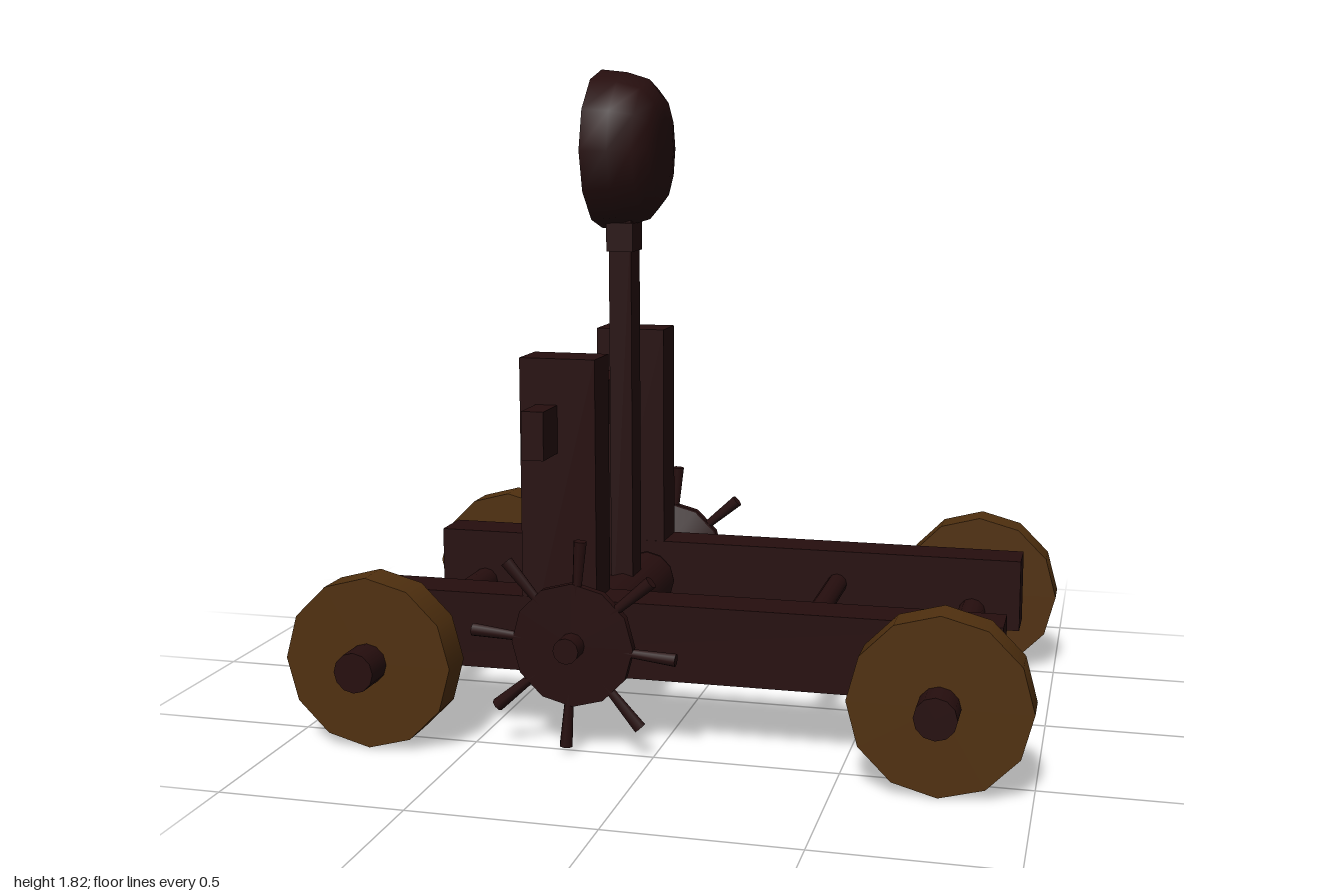
import * as THREE from 'three';

const darkWood = new THREE.MeshStandardMaterial({ color: 0x260e0e });
darkWood.name = 'darkWood';
const wheelWood = new THREE.MeshStandardMaterial({ color: 0x50300f });
wheelWood.name = 'wheelWood';

export function createModel() {
  const model = new THREE.Group();
  model.name = 'catapult';

  function add(name, geometry, x, y, z, material = darkWood, parent = model) {
    const mesh = new THREE.Mesh(geometry, material);
    mesh.name = name;
    mesh.position.set(x, y, z);
    parent.add(mesh);
    return mesh;
  }
  const box = (name, w, h, d, x, y, z) => add(name, new THREE.BoxGeometry(w, h, d), x, y, z);
  // Round bar lying along z; rFront is the radius at its +z end
  function bar(name, rFront, rBack, length, x, y, z, sides = 12, material = darkWood, parent = model) {
    const g = new THREE.CylinderGeometry(rFront, rBack, length, sides).rotateX(Math.PI / 2);
    return add(name, g, x, y, z, material, parent);
  }

  // Frame beams and uprights
  for (const s of [1, -1]) {
    box('sideBeam', 1.81, 0.21, 0.13, 0, 0.295, s * 0.353);
    box('upright', 0.21, 0.87, 0.128, -0.285, 0.62, s * 0.353);
  }
  box('stopBar', 0.06, 0.13, 1.07, -0.315, 0.865, 0);
  bar('crossRod', 0.03, 0.03, 0.6, 0.36, 0.3, 0);

  // Axles and wheels
  for (const x of [-0.765, 0.765]) {
    bar('axle', 0.04, 0.04, 0.8, x, 0.24, 0);
    for (const s of [1, -1]) {
      bar('axleEnd', 0.055, 0.055, 0.36, x, 0.24, s * 0.52);
      bar('wheel', 0.235, 0.235, 0.105, x, 0.24, s * 0.558, 12, wheelWood);
    }
  }

  // Winch: shaft and a drum with tapered ends
  const wx = -0.215, wy = 0.305;
  bar('winchShaft', 0.035, 0.035, 1.17, wx, wy, 0);
  bar('winchDrum', 0.085, 0.085, 0.44, wx, 0.295, 0);
  for (const s of [1, -1]) {
    bar('drumTaper', s > 0 ? 0.045 : 0.085, s > 0 ? 0.085 : 0.045, 0.08, wx, 0.298, s * 0.26);

    // Spoked hand wheel
    const hand = new THREE.Group();
    hand.name = 'handWheel';
    hand.position.set(wx, wy, 0);
    model.add(hand);
    bar('handWheelCone', s > 0 ? 0.165 : 0.045, s > 0 ? 0.045 : 0.165, 0.045,
      0, 0, s * 0.483, 12, darkWood, hand);
    bar('handWheelDisc', 0.168, 0.168, 0.025, 0, 0, s * 0.517, 12, darkWood, hand);
    for (let i = 0; i < 8; i++) {
      const a = -0.08 + i * Math.PI / 4;
      const spoke = add('spoke', new THREE.CylinderGeometry(0.018, 0.011, 0.16, 8),
        0.203 * Math.cos(a), 0.203 * Math.sin(a), s * 0.518, darkWood, hand);
      spoke.rotation.z = a - Math.PI / 2;
    }
  }

  // Throwing arm
  box('throwingArm', 0.065, 1.27, 0.09, -0.217, 0.77, 0);
  box('armCollar', 0.077, 0.08, 0.1, -0.217, 1.355, 0);

  // Bowl: hollow, opening towards -x
  const profile = [
    [0, 0], [0.09, 0], [0.15, 0.01], [0.195, 0.045], [0.215, 0.11], [0.223, 0.185],
    [0.2, 0.185], [0.185, 0.12], [0.13, 0.07], [0, 0.055],
  ].map(([r, h]) => new THREE.Vector2(r, h));
  const bowl = new THREE.LatheGeometry(profile, 12).rotateZ(Math.PI / 2);
  add('bowl', bowl, -0.095, 1.6, 0);

  return model;
}
